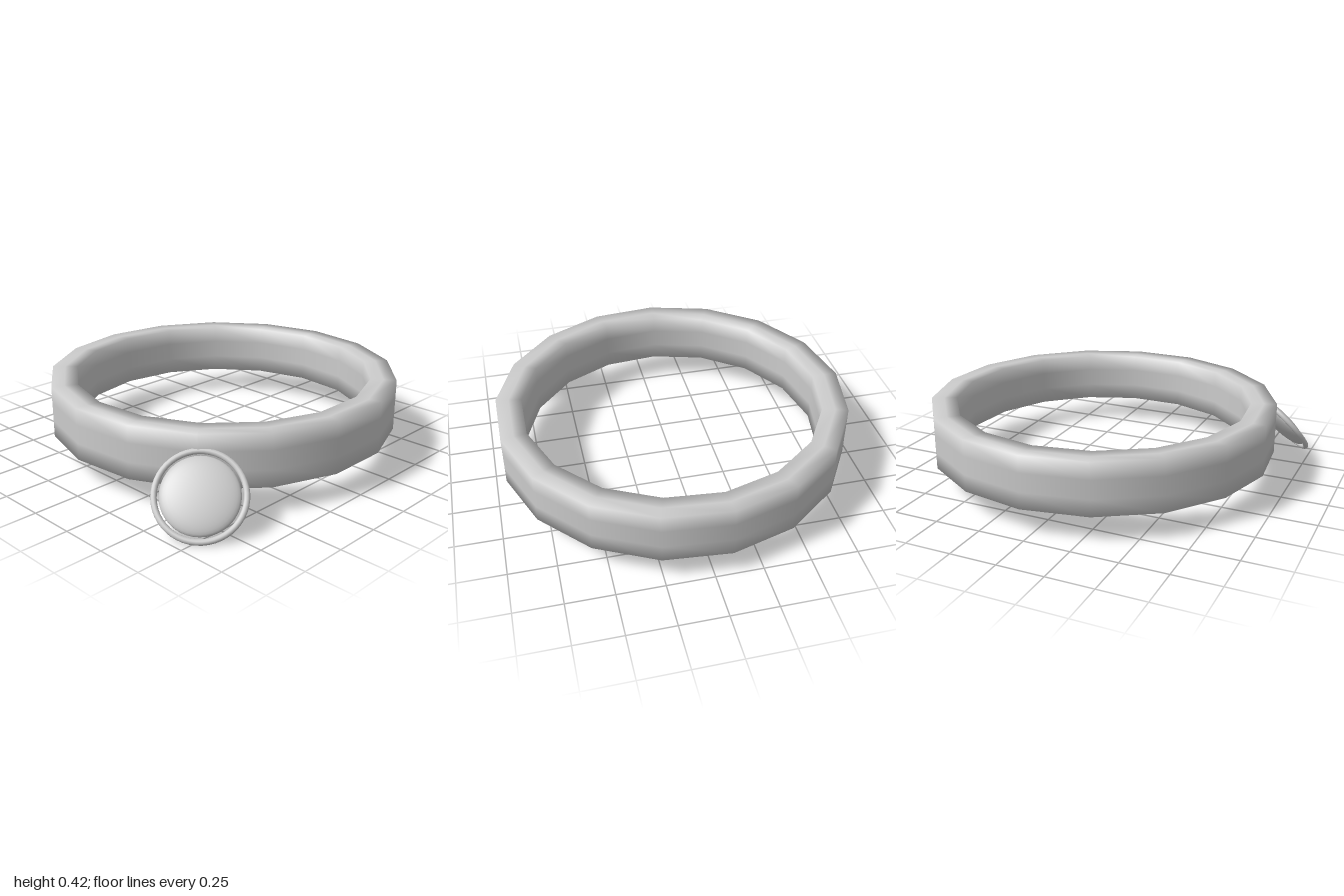
import * as THREE from 'three';

const material = new THREE.MeshStandardMaterial({ color: 0xcccccc });

function addMesh(parent, name, geometry) {
  const mesh = new THREE.Mesh(geometry, material);
  mesh.name = name;
  parent.add(mesh);
  return mesh;
}

export function createModel() {
  const model = new THREE.Group();
  model.name = 'collar';

  // 17-sided band: softly shaded rectangular section, seam on the inner wall
  const inner = 0.82, mid = 0.89, outer = 0.96;
  const profile = [
    [inner, 0.23], [inner, 0.14], [mid, 0.14], [outer, 0.14],
    [outer, 0.23], [outer, 0.33], [outer, 0.42], [mid, 0.42],
    [inner, 0.42], [inner, 0.33], [inner, 0.23],
  ].map(([r, y]) => new THREE.Vector2(r, y));
  const bandGeometry = new THREE.LatheGeometry(profile, 17, Math.PI);
  bandGeometry.normalizeNormals();
  addMesh(model, 'band', bandGeometry).position.x = 0.04;

  // Round tag leaning outward from the band; its local z is the face normal
  const tag = new THREE.Group();
  tag.name = 'tag';
  tag.position.set(-0.81, 0.173, 0.68);
  tag.quaternion.setFromUnitVectors(
    new THREE.Vector3(0, 0, 1),
    new THREE.Vector3(-0.55, 0.655, 0.52).normalize(),
  );
  model.add(tag);

  addMesh(tag, 'tagRim', new THREE.TorusGeometry(0.213, 0.015, 12, 48));

  // Shallow lens inside the rim
  const lens = new THREE.SphereGeometry(0.19, 40, 20);
  lens.rotateX(Math.PI / 2);
  lens.scale(1, 1, 0.24);
  addMesh(tag, 'tagDisc', lens);

  return model;
}
